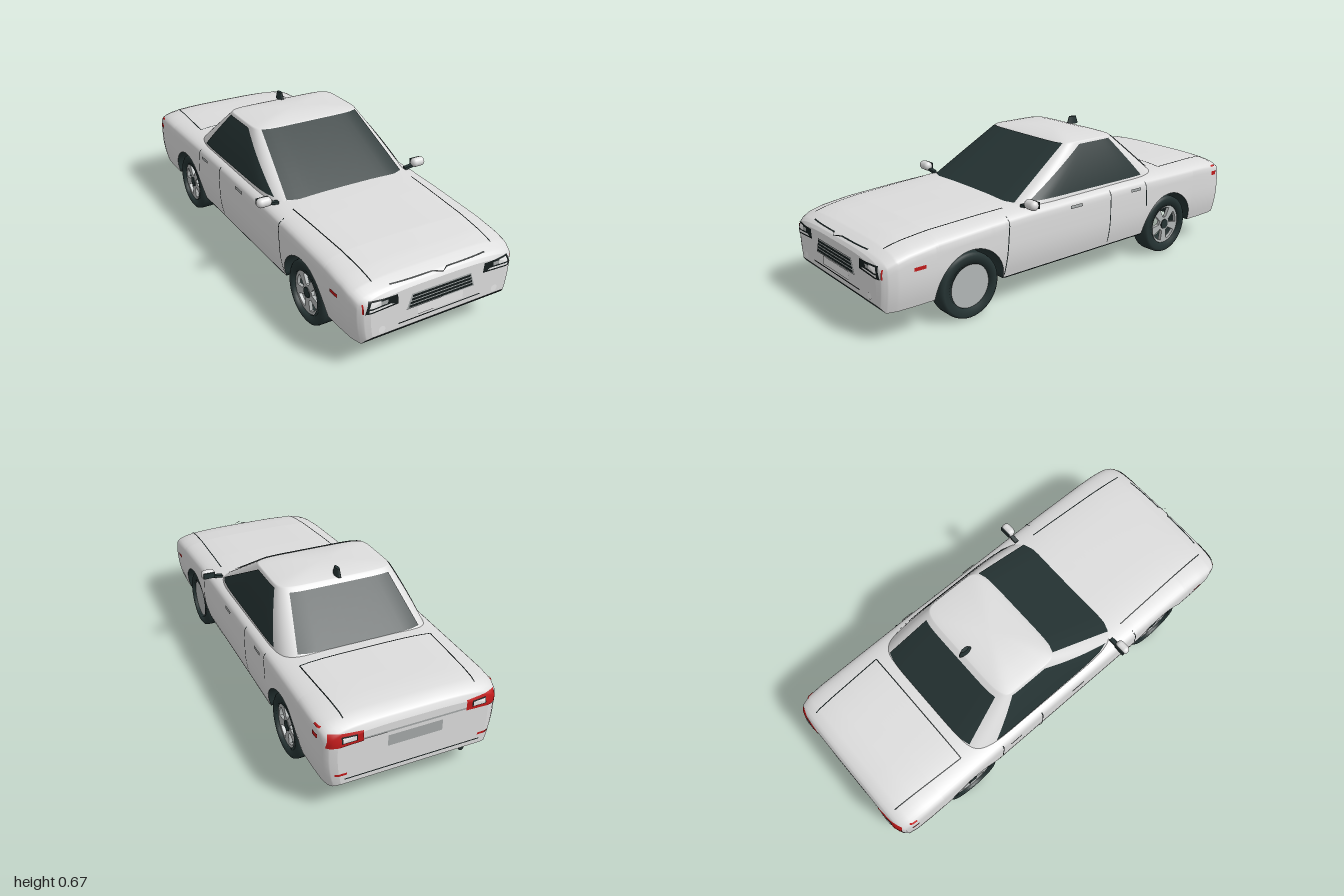
import * as THREE from 'three';
import { mergeVertices } from 'three/addons/utils/BufferGeometryUtils.js';

const material = (name, color) => {
  const m = new THREE.MeshStandardMaterial({ color, side: THREE.DoubleSide });
  m.name = name;
  return m;
};
const lerp = THREE.MathUtils.lerp;

// Body rules along z: [z, value]
const WIDTH = [[-1, .33], [-.99, .358], [-.97, .378], [-.93, .387], [-.85, .39], [.85, .39], [.93, .386], [.97, .374], [.99, .355], [1, .328]];
const TOP = [[-1, .37], [-.99, .392], [-.97, .41], [-.93, .424], [-.85, .43], [-.3, .435], [.3, .428], [.5, .42], [.75, .405], [.88, .388], [.94, .373], [.98, .354], [.992, .345], [1, .332]];
const BOTTOM = [[-1, .14], [-.985, .13], [.975, .13], [1, .16]];
const AXLES = [.595, -.59], ARCH_Z = .17, ARCH_Y = .178;
const R = .07, P = 3.5; // shoulder radius and squareness

function table(rows, z) {
  for (let i = 1; i < rows.length; i++) {
    const [a, va] = rows[i - 1], [b, vb] = rows[i];
    if (z <= b) return lerp(va, vb, (z - a) / (b - a));
  }
  return rows[rows.length - 1][1];
}
const tuck = y => 1 - .06 * (Math.max(0, .28 - y) / .15) ** 2;
function bottomY(z) {
  for (const c of AXLES) {
    const d = (z - c) / ARCH_Z;
    if (Math.abs(d) < 1) return .13 + ARCH_Y * Math.sqrt(1 - d * d);
  }
  return table(BOTTOM, z);
}
function halfWidth(z, y) {
  const d = Math.max(0, (y - table(TOP, z) + R) / R);
  return d > 1 ? 0 : table(WIDTH, z) * tuck(y) * (1 - d ** P) ** (1 / P);
}

// Surfaces that thin details are laid on: (a, b, lift) -> point
const onTop = (x, z, e) => {
  const u = Math.min(1, Math.abs(x) / table(WIDTH, z));
  return [x, table(TOP, z) - R + R * (1 - u ** P) ** (1 / P) + e, z];
};
const onSide = (z, y, e) => [halfWidth(z, y) + e, y, z];
const onEnd = s => (x, y, e) => {
  let lo = .6, hi = 1;
  if (halfWidth(s, y) >= Math.abs(x)) lo = 1;
  else for (let i = 0; i < 24; i++) {
    const m = (lo + hi) / 2;
    if (halfWidth(s * m, y) >= Math.abs(x)) lo = m; else hi = m;
  }
  return [x, y, s * (lo + e)];
};
const onFront = onEnd(1), onRear = onEnd(-1);

// Cabin rings are superellipses
const N = 7;
function cabinRing(y) {
  const v = (y - .4) / .225, f = .36 * (1 - v), r = lerp(-.575, -.31, v);
  return { c: (f + r) / 2, h: (f - r) / 2, w: lerp(.357, .272, v) + .024 * v * (1 - v) };
}
const squircle = u => (1 - Math.min(1, Math.abs(u)) ** N) ** (1 / N);
const onCabinEnd = s => (x, y, e) => {
  const k = cabinRing(y);
  return [x, y + e * .7, k.c + s * (k.h * squircle(x / k.w) + e)];
};
const onCabinSide = (z, y, e) => {
  const k = cabinRing(y);
  return [k.w * squircle((z - k.c) / k.h) + e, y, z];
};

// Smooth surface from a grid of points
function grid(nu, nv, point) {
  const pos = [], index = [];
  for (let i = 0; i <= nu; i++) for (let j = 0; j <= nv; j++) {
    pos.push(...point(i, j));
    if (i < nu && j < nv) {
      const a = i * (nv + 1) + j, b = a + nv + 1;
      index.push(a, b, a + 1, b, b + 1, a + 1);
    }
  }
  let g = new THREE.BufferGeometry();
  g.setAttribute('position', new THREE.Float32BufferAttribute(pos, 3));
  g.setIndex(index);
  g = mergeVertices(g, 1e-5);
  g.computeVertexNormals();
  return g;
}

export function createModel() {
  const car = new THREE.Group();
  car.name = 'car';
  const paint = material('paint', 0xdcdcdc), dark = material('darkGlassAndRubber', 0x253333);
  const seam = material('blackTrim', 0x141c1c), red = material('redLens', 0xc01a1a);
  const grey = material('grey', 0xa4a8a8), lens = material('clearLens', 0xececec), rimMat = material('rimMetal', 0xb2b6b6);

  const add = (name, geo, mat, parent = car) => {
    const m = new THREE.Mesh(geo, mat);
    m.name = name;
    parent.add(m);
    return m;
  };
  // Thin plate laid on a surface; corners run around the quad
  const plate = (name, mat, surf, [a, b, c, d], e = .003, s = 1, n = 14) => add(name, grid(n, n, (i, j) => {
    const u = i / n, v = j / n;
    const p = surf(lerp(lerp(a[0], b[0], u), lerp(d[0], c[0], u), v), lerp(lerp(a[1], b[1], u), lerp(d[1], c[1], u), v), e);
    return [p[0] * s, p[1], p[2]];
  }), mat);
  const pair = (name, mat, surf, quad, e) => [1, -1].forEach(s => plate(name, mat, surf, quad, e, s));
  const rect = (x0, x1, y0, y1) => [[x0, y0], [x1, y0], [x1, y1], [x0, y1]];
  const line = ([ax, ay], [bx, by], w = .005) => {
    const l = Math.hypot(bx - ax, by - ay), nx = -(by - ay) / l * w / 2, ny = (bx - ax) / l * w / 2;
    return [[ax + nx, ay + ny], [bx + nx, by + ny], [bx - nx, by - ny], [ax - nx, ay - ny]];
  };

  // Body shell, with wheel arches cut by the bottom line
  const zs = [...WIDTH, ...TOP, ...BOTTOM].map(r => r[0]);
  for (const c of AXLES) for (let i = 0; i <= 24; i++) zs.push(c - (ARCH_Z + (i % 24 ? 0 : .0005)) * Math.cos(i / 24 * Math.PI));
  const stations = [...new Set(zs)].sort((a, b) => a - b);
  const section = z => {
    const t = table(TOP, z), w = table(WIDTH, z), b = bottomY(z), pts = [];
    for (let i = 0; i <= 12; i++) {
      const q = i / 12 * Math.PI / 2, y = t - R + R * Math.max(0, Math.cos(q)) ** (2 / P);
      pts.push([w * Math.sin(q) ** (2 / P) * tuck(y), y]);
    }
    for (let i = 1; i <= 6; i++) {
      const y = lerp(t - R, b, i / 6);
      pts.push([w * tuck(y), y]);
    }
    return pts;
  };
  const sections = stations.map(section), last = stations.length - 1;
  add('bodyShell', grid(last, 36, (i, j) => {
    const k = j - 18, p = sections[i][Math.abs(k)];
    return [Math.sign(k) * p[0], p[1], stations[i]];
  }), paint);
  add('underside', grid(last, 1, (i, j) => {
    const p = sections[i][18];
    return [(1 - 2 * j) * p[0], p[1], stations[i]];
  }), dark);
  for (const [name, k] of [['nosePanel', last], ['tailPanel', 0]])
    add(name, grid(18, 1, (i, j) => [(k ? 1 : -1) * (2 * j - 1) * sections[k][i][0], sections[k][i][1], stations[k]]), paint);

  // Cabin and crowned roof
  const roof = [1, .985, .95, .85, .6, .3, 0];
  add('cabin', grid(8 + roof.length, 72, (i, j) => {
    const s = i <= 8 ? 1 : roof[i - 9], y = i <= 8 ? lerp(.4, .62, i / 8) : .625 + .02 * (1 - s ** 3);
    const k = cabinRing(Math.min(y, .625)), q = (j % 72) / 72 * Math.PI * 2;
    const f = v => Math.abs(v) < 1e-9 ? 0 : Math.sign(v) * Math.abs(v) ** (2 / N);
    return [s * k.w * f(Math.sin(q)), y, k.c + s * k.h * f(Math.cos(q))];
  }), paint);
  plate('windshield', dark, onCabinEnd(1), [[-.298, .42], [.298, .42], [.25, .622], [-.25, .622]], .004);
  plate('rearWindow', dark, onCabinEnd(-1), [[-.285, .432], [.285, .432], [.235, .608], [-.235, .608]], .004);
  pair('sideWindow', dark, onCabinSide, [[.26, .425], [-.42, .425], [-.265, .615], [-.08, .615]], .004);

  // Panel gaps
  pair('hoodGap', seam, onTop, line([.308, .38], [.288, .94]));
  plate('hoodFrontGap', seam, onFront, line([-.23, .355], [.23, .355], .003), .003);
  pair('trunkGap', seam, onTop, line([.305, -.59], [.287, -.95]));
  plate('trunkFrontGap', seam, onTop, line([-.305, -.59], [.305, -.59]));
  pair('fenderGap', seam, onSide, line([.405, .4], [.425, .15]));
  pair('doorGap', seam, onSide, line([-.18, .4], [-.18, .15]));
  pair('rearDoorGap', seam, onSide, line([-.412, .4], [-.422, .28]));
  pair('sill', seam, onSide, rect(-.415, .42, .131, .137), .002);

  // Door handles and side markers
  pair('frontDoorHandle', grey, onSide, rect(0, .07, .368, .382), .006);
  pair('rearDoorHandle', grey, onSide, rect(-.375, -.31, .368, .382), .006);
  pair('frontSideMarker', red, onSide, rect(.815, .868, .287, .302));
  pair('rearSideMarker', red, onSide, rect(-.94, -.905, .342, .362));
  pair('upperRearSideMarker', red, onSide, rect(-.94, -.905, .385, .392));

  // Front face
  pair('headlightFrame', seam, onFront, [[.205, .279], [.35, .272], [.335, .324], [.21, .322]]);
  pair('headlightInnerLens', grey, onFront, rect(.255, .285, .298, .315), .005);
  pair('headlightOuterLens', lens, onFront, [[.285, .297], [.335, .295], [.325, .318], [.285, .318]], .005);
  pair('headlightLowerLens', lens, onFront, [[.225, .286], [.335, .28], [.335, .289], [.24, .293]], .005);
  pair('headlightMarker', red, onFront, rect(.355, .36, .275, .315), .004);
  plate('grilleFrame', grey, onFront, [[-.165, .235], [.165, .235], [.143, .3], [-.143, .3]]);
  for (let i = 0; i < 4; i++) {
    const y = .241 + i * .0145, w = .154 - i * .0045;
    plate('grilleSlot', seam, onFront, rect(-w, w, y, y + .0105), .005);
  }
  plate('frontPlate', lens, onFront, rect(-.11, .11, .195, .233));
  plate('frontBumperGap', seam, onFront, line([-.2, .185], [.2, .185]));
  for (const s of [1, -1]) {
    add('fogLight', new THREE.CircleGeometry(.015, 24), lens).position.set(s * .275, .185, 1.002);
  }

  // Rear face
  pair('tailLight', red, onRear, [[.225, .325], [.372, .32], [.362, .378], [.225, .372]]);
  pair('tailLightFrame', seam, onRear, rect(.25, .315, .336, .364), .004);
  pair('reversingLens', lens, onRear, rect(.255, .31, .34, .36), .006);
  pair('rearReflector', red, onRear, rect(.29, .34, .185, .195));
  plate('trunkLowerGap', grey, onRear, line([-.225, .335], [.225, .335], .008));
  plate('rearPlate', grey, onRear, rect(-.12, .12, .265, .315));
  plate('rearBumperGap', seam, onRear, line([-.3, .165], [.3, .165]));
  const pipe = add('exhaustPipe', new THREE.CylinderGeometry(.012, .012, .08, 16), dark);
  pipe.rotation.x = Math.PI / 2;
  pipe.position.set(-.23, .127, -.95);

  // Mirrors
  for (const s of [1, -1]) {
    const housing = add('mirrorHousing', new THREE.CapsuleGeometry(.02, .03, 6, 16), paint);
    housing.rotation.z = Math.PI / 2;
    housing.scale.set(1.1, 1, 1.1);
    housing.position.set(s * .402, .437, .3);
    const glass = add('mirrorGlass', new THREE.BoxGeometry(.056, .028, .006), dark);
    glass.position.set(s * .402, .437, .28);
    const arm = add('mirrorArm', new THREE.BoxGeometry(.055, .012, .02), dark);
    arm.position.set(s * .36, .421, .295);
    arm.rotation.z = s * .15;
  }

  // Roof antenna fin
  const fin = add('antennaFin', new THREE.CylinderGeometry(.008, .013, .036, 12), dark);
  fin.scale.z = 2.7;
  fin.position.set(0, .65, -.295);

  // Wheels
  const profile = [[.096, -.046], [.13, -.047], [.14, -.04], [.143, -.028], [.143, .028], [.14, .04], [.13, .047], [.096, .046], [.096, -.046]];
  const tyre = new THREE.LatheGeometry(profile.map(p => new THREE.Vector2(...p)), 48).rotateZ(-Math.PI / 2);
  const face = new THREE.Shape().absarc(0, 0, .097, 0, Math.PI * 2);
  for (let i = 0; i < 5; i++) {
    const a = i / 5 * Math.PI * 2 + Math.PI / 2, hole = new THREE.Path();
    hole.absarc(0, 0, .083, a - .38, a + .38, false);
    hole.absarc(0, 0, .036, a + .25, a - .25, true);
    hole.closePath();
    face.holes.push(hole);
  }
  const spokes = new THREE.ExtrudeGeometry(face, { depth: .016, bevelEnabled: false, curveSegments: 24 }).rotateY(Math.PI / 2);
  for (const z of AXLES) for (const s of [1, -1]) {
    const wheel = new THREE.Group();
    wheel.name = 'wheel';
    wheel.position.set(s * .327, .143, z);
    wheel.rotation.y = s > 0 ? 0 : Math.PI;
    add('tyre', tyre, dark, wheel);
    if (s > 0 && z > 0) {
      const disc = add('wheelDisc', new THREE.CylinderGeometry(.097, .097, .012, 40), rimMat, wheel);
      disc.rotation.z = Math.PI / 2;
      disc.position.x = .03;
    } else {
      add('spokedRim', spokes, rimMat, wheel).position.x = .02;
      const hub = add('hubCap', new THREE.CylinderGeometry(.024, .024, .02, 24), dark, wheel);
      hub.rotation.z = Math.PI / 2;
      hub.position.x = .03;
    }
    car.add(wheel);
  }
  return car;
}
